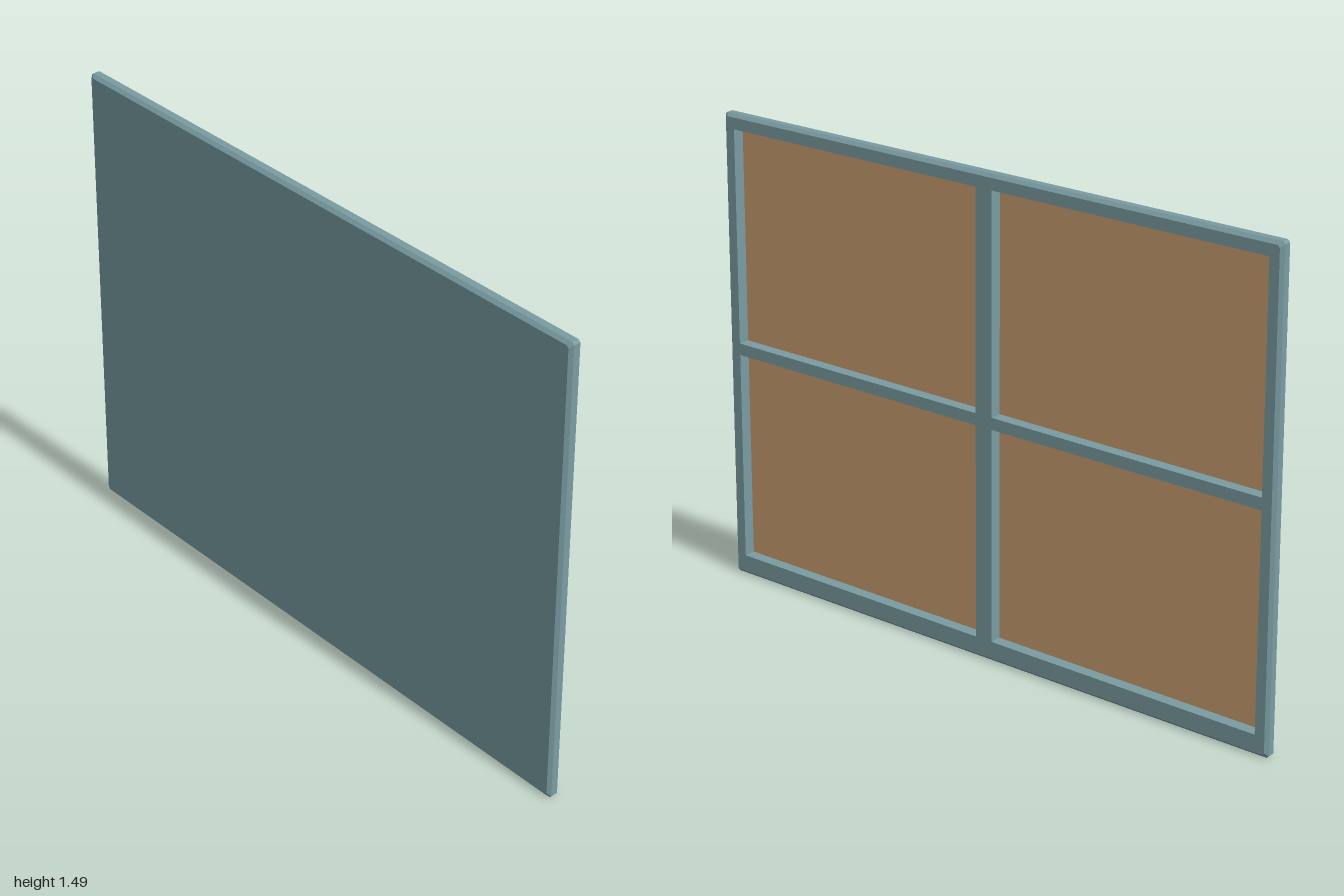
import * as THREE from 'three';

const H = 1.49, T = 0.021, BEVEL = 0.01, CUT = 0.007, PANE_X = -0.016;

// Slightly tapered outline with clipped corners, counter-clockwise; u runs along -z
function outline(inset) {
  const b = 1 - inset, t = 0.989 - inset, lo = inset, hi = H - inset, c = CUT;
  return [[-b + c, lo], [b - c, lo], [b, lo + c], [t, hi - c],
    [t - c, hi], [-t + c, hi], [-t, hi - c], [-b, lo + c]];
}

const toShape = (pts) => new THREE.Shape(pts.map(([u, v]) => new THREE.Vector2(u, v)));

// The four openings between the bars
function openings() {
  const list = [];
  for (const s of [-1, 1]) {
    for (const [y0, y1] of [[0.064, 0.733], [0.77, 1.444]]) {
      const edge = (y) => s * (0.958 - 0.007 * y);
      const pts = [[s * 0.029, y0], [edge(y0), y0], [edge(y1), y1], [s * 0.029, y1]];
      list.push(s > 0 ? pts : pts.reverse());
    }
  }
  return list;
}

// Band with chamfered front and back edges
function rimGeometry() {
  const rings = [[-T, BEVEL], [-T + BEVEL, 0], [T - BEVEL, 0], [T, BEVEL]]
    .map(([x, inset]) => outline(inset).map(([u, v]) => [x, v, -u]));
  const pos = [];
  for (let r = 0; r < 3; r++) {
    for (let i = 0; i < 8; i++) {
      const j = (i + 1) % 8;
      const a = rings[r][i], b = rings[r][j], c = rings[r + 1][j], d = rings[r + 1][i];
      pos.push(...a, ...b, ...c, ...a, ...c, ...d);
    }
  }
  const g = new THREE.BufferGeometry();
  g.setAttribute('position', new THREE.Float32BufferAttribute(pos, 3));
  g.computeVertexNormals();
  return g;
}

export function createModel() {
  const group = new THREE.Group();
  group.name = 'windowPanel';
  const teal = new THREE.MeshStandardMaterial({ color: 0x799ca2 });
  teal.name = 'teal frame';
  const tan = new THREE.MeshStandardMaterial({ color: 0xcb9e70 });
  tan.name = 'tan pane';

  const add = (name, geometry, material) => {
    const mesh = new THREE.Mesh(geometry, material);
    mesh.name = name;
    group.add(mesh);
  };

  add('outerRim', rimGeometry(), teal);

  // Frame and cross bars with four deep openings
  const lattice = toShape(outline(BEVEL));
  lattice.holes = openings().map((p) => new THREE.Path(p.map(([u, v]) => new THREE.Vector2(u, v))));
  const bars = new THREE.ExtrudeGeometry(lattice, { depth: T - PANE_X, bevelEnabled: false });
  add('frameAndBars', bars.translate(0, 0, PANE_X).rotateY(Math.PI / 2), teal);

  // Plain back face
  const back = new THREE.ShapeGeometry(toShape(outline(BEVEL)));
  add('backPanel', back.rotateY(-Math.PI / 2).translate(-T, 0, 0), teal);

  // Recessed panes
  openings().forEach((p, i) => {
    const pane = new THREE.ShapeGeometry(toShape(p));
    add('pane' + (i + 1), pane.rotateY(Math.PI / 2).translate(PANE_X, 0, 0), tan);
  });

  return group;
}
